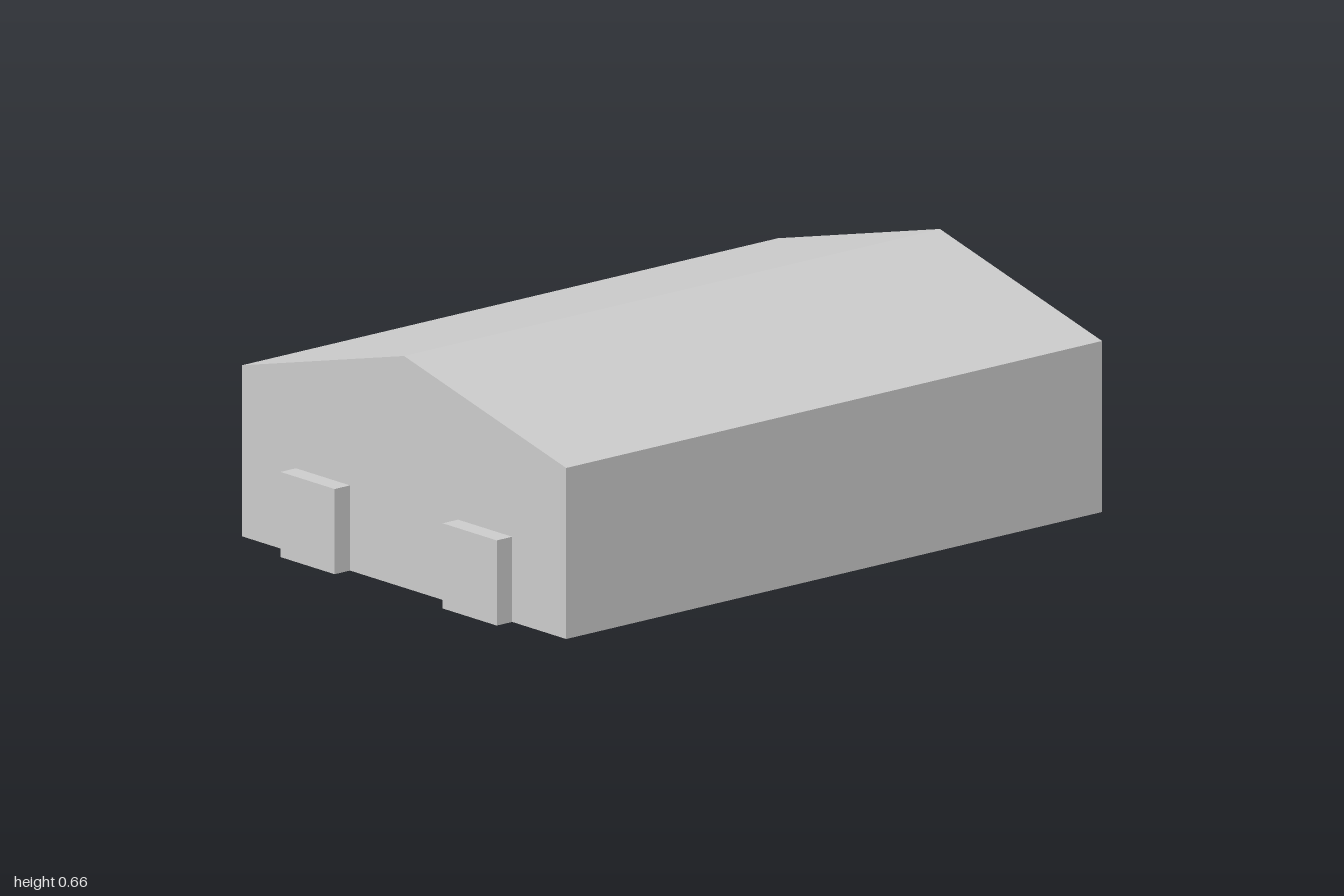
import * as THREE from 'three';

export function createModel() {
  const group = new THREE.Group();
  const material = new THREE.MeshStandardMaterial({ color: 0xcccccc, flatShading: true });

  const halfDepth = 0.68, eave = 0.488, ridge = 0.661;
  const endX = -0.944, length = 1 - endX;

  // Hall: gabled cross-section extruded along x
  const gable = new THREE.Shape([
    new THREE.Vector2(-halfDepth, 0),
    new THREE.Vector2(halfDepth, 0),
    new THREE.Vector2(halfDepth, eave),
    new THREE.Vector2(0, ridge),
    new THREE.Vector2(-halfDepth, eave),
  ]);
  const hallGeometry = new THREE.ExtrudeGeometry(gable, { depth: length, bevelEnabled: false });
  hallGeometry.rotateY(Math.PI / 2).translate(endX, 0, 0);
  const hall = new THREE.Mesh(hallGeometry, material);
  hall.name = 'gabledHall';
  group.add(hall);

  // Two door blocks standing out from the end wall
  const doorDepth = 1 + endX, doorHeight = 0.243, doorWidth = 0.227;
  for (const side of [-1, 1]) {
    const door = new THREE.Mesh(new THREE.BoxGeometry(doorDepth, doorHeight, doorWidth), material);
    door.position.set(-1 + doorDepth / 2, doorHeight / 2, side * 0.34);
    door.name = side > 0 ? 'frontDoor' : 'backDoor';
    group.add(door);
  }

  return group;
}
